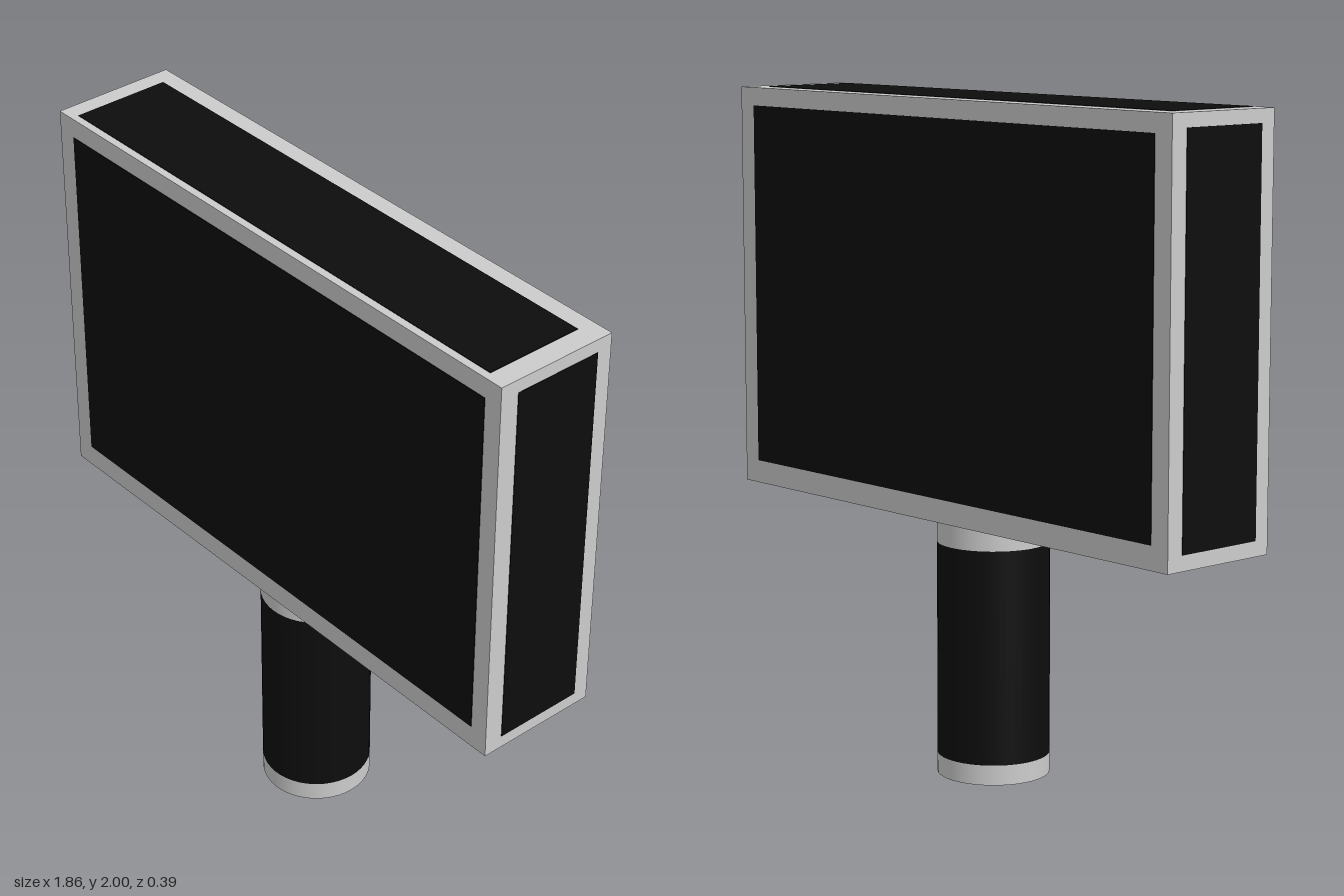
import * as THREE from 'three';

export function createModel() {
  const group = new THREE.Group();
  const grey = new THREE.MeshStandardMaterial({ color: 0xcccccc });
  grey.name = 'light grey';
  const black = new THREE.MeshStandardMaterial({ color: 0x0d0d0d });
  black.name = 'black';

  const add = (name, geometry, material, x, y, z) => {
    const mesh = new THREE.Mesh(geometry, material);
    mesh.name = name;
    mesh.position.set(x, y, z);
    group.add(mesh);
    return mesh;
  };

  // Head block
  const W = 0.928, D = 0.194, BOTTOM = 0.775, TOP = 2;
  add('head', new THREE.BoxGeometry(W * 2, TOP - BOTTOM, D * 2), grey, 0, (TOP + BOTTOM) / 2, 0);

  // Dark inlay plates on all six faces, given as min and max corners
  const t = 0.002;
  const plates = {
    frontPanel: [[-0.865, 0.845, D - t], [0.87, 1.94, D + t]],
    backPanel: [[-0.865, 0.845, -D - t], [0.865, 1.945, -D + t]],
    leftPanel: [[W - t, 0.815, -0.145], [W + t, 1.96, 0.135]],
    rightPanel: [[-W - t, 0.82, -0.14], [-W + t, 1.96, 0.145]],
    topPanel: [[-0.87, TOP - t, -0.138], [0.86, TOP, 0.17]],
    bottomPanel: [[-0.865, BOTTOM - t, -0.13], [0.865, BOTTOM + t, 0.13]],
  };
  // Keep the top plate just proud of the block
  plates.topPanel[1][1] = TOP + t;
  for (const [name, [lo, hi]] of Object.entries(plates)) {
    const size = hi.map((v, i) => v - lo[i]);
    const mid = hi.map((v, i) => (v + lo[i]) / 2);
    add(name, new THREE.BoxGeometry(...size), black, ...mid);
  }

  // Round handle: grey foot, dark grip, grey collar
  const bands = [
    ['handleFoot', 0, 0.06, grey],
    ['handleGrip', 0.06, 0.7, black],
    ['handleCollar', 0.7, BOTTOM, grey],
  ];
  for (const [name, y0, y1, material] of bands) {
    add(name, new THREE.CylinderGeometry(0.167, 0.167, y1 - y0, 48), material, -0.012, (y0 + y1) / 2, 0.003);
  }
  return group;
}
